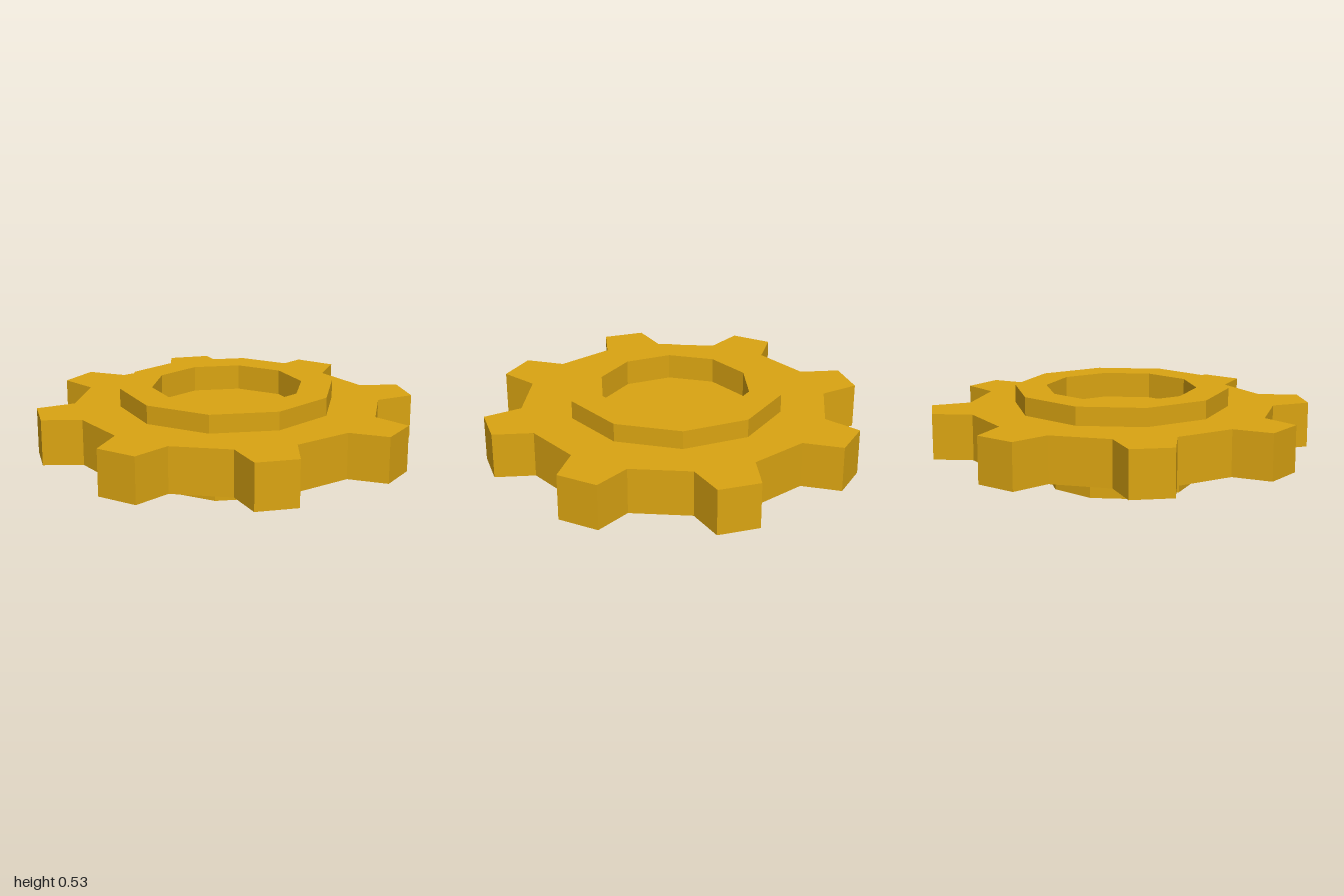
import * as THREE from 'three';

const TEETH = 8;
const HUB_SIDES = 10;

// Point on a circle, angle measured from +y
const polar = (radius, angle) =>
  new THREE.Vector2(radius * Math.sin(angle), radius * Math.cos(angle));

export function createModel() {
  const group = new THREE.Group();
  group.name = 'gear';
  const material = new THREE.MeshStandardMaterial({ color: 0xdaa412, flatShading: true });

  // Toothed ring: each tooth tapers from root to tip
  const outline = [];
  for (let i = 0; i < TEETH; i++) {
    const mid = ((i + 0.5) / TEETH) * Math.PI * 2;
    outline.push(
      polar(0.837, mid - 0.194), polar(1.041, mid - 0.11),
      polar(1.041, mid + 0.11), polar(0.837, mid + 0.194)
    );
  }
  const shape = new THREE.Shape(outline);

  // Ten-sided opening that the hub fills
  const opening = [];
  for (let i = 0; i < HUB_SIDES; i++) {
    opening.push(polar(0.588, (i / HUB_SIDES) * Math.PI * 2));
  }
  shape.holes.push(new THREE.Path(opening));

  const ringGeometry = new THREE.ExtrudeGeometry(shape, { depth: 0.25, bevelEnabled: false });
  ringGeometry.rotateX(-Math.PI / 2);
  ringGeometry.translate(0, 0.18, 0);
  const ring = new THREE.Mesh(ringGeometry, material);
  ring.name = 'toothedRing';
  group.add(ring);

  // Hub: lower boss, wide collar and a shallow recess on top
  const profile = [
    [0, 0], [0.415, 0], [0.415, 0.14], [0.59, 0.14],
    [0.59, 0.53], [0.415, 0.53], [0.415, 0.39], [0, 0.39],
  ].map(([r, y]) => new THREE.Vector2(r, y));
  const hub = new THREE.Mesh(new THREE.LatheGeometry(profile, HUB_SIDES), material);
  hub.name = 'hub';
  group.add(hub);

  return group;
}
